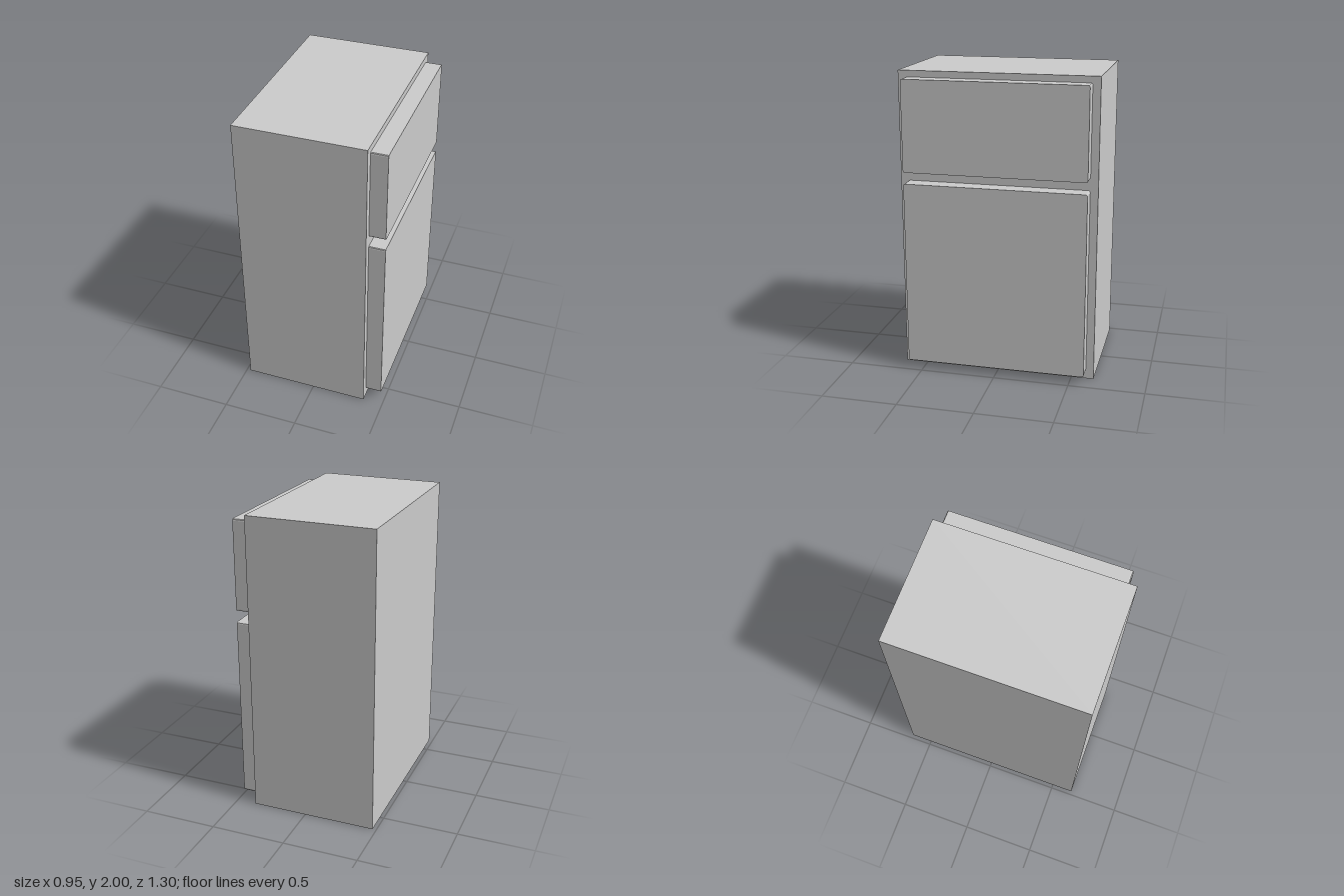
import * as THREE from 'three';

const material = new THREE.MeshStandardMaterial({ color: 0xcccccc, flatShading: true });

// Door slab with slightly rounded corners, standing on the cabinet's +x face
function makeDoor(name, bottom, top) {
  const w = 0.597, r = 0.013;
  const s = new THREE.Shape();
  s.moveTo(-w + r, bottom);
  s.lineTo(w - r, bottom);
  s.quadraticCurveTo(w, bottom, w, bottom + r);
  s.lineTo(w, top - r);
  s.quadraticCurveTo(w, top, w - r, top);
  s.lineTo(-w + r, top);
  s.quadraticCurveTo(-w, top, -w, top - r);
  s.lineTo(-w, bottom + r);
  s.quadraticCurveTo(-w, bottom, -w + r, bottom);
  const geometry = new THREE.ExtrudeGeometry(s, { depth: 0.108, bevelEnabled: false, curveSegments: 3 });
  geometry.rotateY(Math.PI / 2);
  const door = new THREE.Mesh(geometry, material);
  door.name = name;
  door.position.x = 0.366;
  return door;
}

export function createModel() {
  const group = new THREE.Group();
  group.name = 'refrigerator';

  // Main cabinet
  const cabinet = new THREE.Mesh(new THREE.BoxGeometry(0.84, 2, 1.296), material);
  cabinet.name = 'cabinet';
  cabinet.position.set(-0.054, 1, 0);
  group.add(cabinet);

  // Large lower door and small freezer door
  group.add(makeDoor('lowerDoor', 0.057, 1.285));
  group.add(makeDoor('freezerDoor', 1.36, 1.958));
  return group;
}
